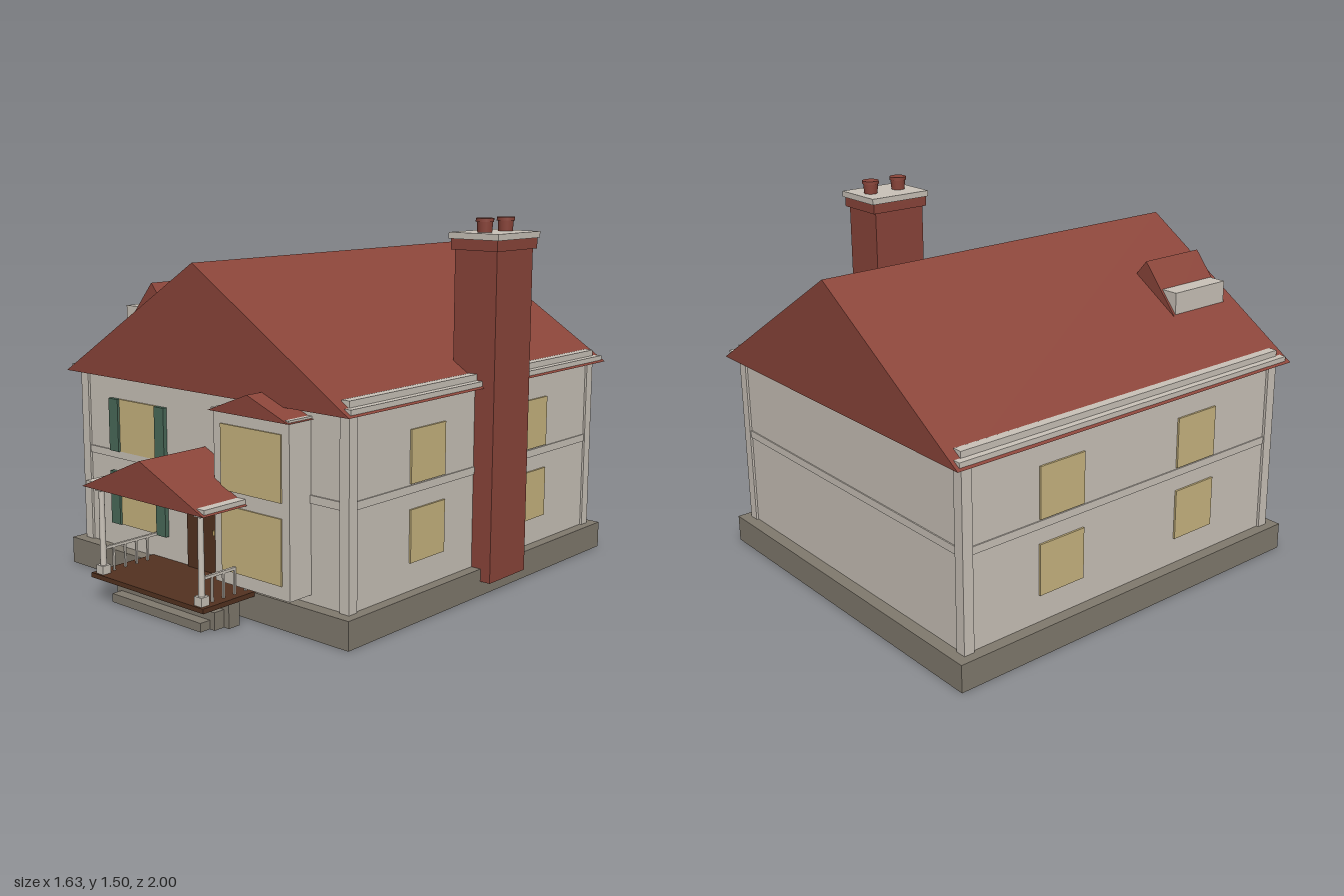
import * as THREE from 'three';

const mat = (name, color) => {
  const m = new THREE.MeshStandardMaterial({ color });
  m.name = name;
  return m;
};

export function createModel() {
  const house = new THREE.Group();
  house.name = 'house';
  const brick = mat('brick red', 0x8b453a);
  const plaster = mat('plaster', 0xcac3b9);
  const stone = mat('stone', 0x817a6e);
  const glass = mat('warm glass', 0xc9b580);
  const green = mat('shutter green', 0x4a6a59);
  const wood = mat('dark wood', 0x533220);
  const brass = mat('brass', 0xc2a468);
  const CX = -0.03; // centre line of the house body

  const add = (name, geo, material, parent = house) => {
    const m = new THREE.Mesh(geo, material);
    m.name = name;
    parent.add(m);
    return m;
  };
  // Box given by its limits on each axis
  const box = (name, material, x0, x1, y0, y1, z0, z1, parent) => {
    const m = add(name, new THREE.BoxGeometry(x1 - x0, y1 - y0, z1 - z0), material, parent);
    m.position.set((x0 + x1) / 2, (y0 + y1) / 2, (z0 + z1) / 2);
    return m;
  };
  // Gable prism with its ridge along z
  const gable = (name, x0, x1, y0, y1, z0, z1) => {
    const s = new THREE.Shape();
    s.moveTo(x0, y0);
    s.lineTo(x1, y0);
    s.lineTo((x0 + x1) / 2, y1);
    s.closePath();
    const geo = new THREE.ExtrudeGeometry(s, { depth: z1 - z0, bevelEnabled: false });
    add(name, geo, brick).position.z = z0;
  };
  // Pair of boxes mirrored about the line x = c; a and b are distances from it
  const pair = (name, material, c, a, b, y0, y1, z0, z1) => {
    for (const s of [-1, 1]) {
      const e = [c + s * a, c + s * b].sort((p, q) => p - q);
      box(name, material, e[0], e[1], y0, y1, z0, z1);
    }
  };

  // Body
  box('foundation', stone, -0.817, 0.755, 0, 0.112, -1, 0.72);
  box('walls', plaster, -0.768, 0.71, 0.112, 0.845, -0.948, 0.666);
  pair('cornerPostFront', plaster, CX, 0.704, 0.749, 0.112, 0.845, 0.63, 0.676);
  pair('cornerPostBack', plaster, CX, 0.704, 0.749, 0.112, 0.845, -0.957, -0.912);
  box('beltCourse', plaster, -0.773, 0.715, 0.493, 0.524, -0.953, 0.672);

  // Main roof with eaves trim
  gable('mainRoof', -0.817, 0.755, 0.843, 1.337, -1, 0.72);
  pair('eavesTrim', plaster, CX, 0.71, 0.748, 0.85, 0.895, -0.957, 0.675);
  pair('gutter', plaster, CX, 0.746, 0.776, 0.85, 0.87, -0.985, 0.7);

  // Roof dormer
  box('dormerBox', plaster, -0.503, -0.18, 1.02, 1.135, 0.36, 0.648);
  gable('dormerRoof', -0.507, -0.173, 1.04, 1.237, 0.35, 0.655);

  // Chimney
  box('chimneyStack', brick, 0.603, 0.8, 0.06, 1.375, -0.33, -0.085);
  box('chimneyCollar', brick, 0.592, 0.81, 1.375, 1.417, -0.345, -0.072);
  box('chimneyCap', plaster, 0.584, 0.816, 1.417, 1.442, -0.355, -0.067);
  for (const z of [-0.285, -0.143]) {
    const pot = add('chimneyPot', new THREE.CylinderGeometry(0.033, 0.029, 0.055, 16), brick);
    pot.position.set(0.7, 1.469, z);
    const rim = add('chimneyPotRim', new THREE.CylinderGeometry(0.036, 0.036, 0.014, 16), brick);
    rim.position.set(0.7, 1.49, z);
  }

  // Side windows
  for (const [y0, y1] of [[0.53, 0.738], [0.223, 0.431]]) {
    for (const [z0, z1] of [[0.11, 0.32], [-0.6, -0.385]]) {
      box('sideWindowLeft', glass, 0.71, 0.718, y0, y1, z0, z1);
      box('sideWindowRight', glass, -0.776, -0.768, y0, y1, z0, z1);
    }
  }

  // Front windows with shutters
  for (const [y0, y1] of [[0.524, 0.745], [0.212, 0.437]]) {
    box('frontWindow', glass, -0.537, -0.31, y0, y1, 0.666, 0.674);
    pair('shutter', green, -0.4235, 0.1135, 0.17, y0, y1, 0.666, 0.684);
  }

  // Two-storey bay
  box('bay', plaster, 0.14, 0.528, 0.145, 0.807, 0.64, 0.78);
  box('bayWindowUpper', glass, 0.18, 0.49, 0.508, 0.76, 0.78, 0.786);
  box('bayWindowLower', glass, 0.18, 0.49, 0.197, 0.45, 0.78, 0.786);
  gable('bayRoof', 0.127, 0.54, 0.805, 0.886, 0.64, 0.797);
  pair('bayGutter', plaster, 0.3335, 0.181, 0.199, 0.806, 0.816, 0.64, 0.788);

  // Door and wall lamp
  box('door', wood, -0.132, 0.066, 0.117, 0.475, 0.66, 0.676);
  box('doorHandle', brass, 0.024, 0.034, 0.275, 0.295, 0.676, 0.684);
  const lamp = add('wallLamp', new THREE.SphereGeometry(0.018, 14, 10), brass);
  lamp.position.set(0.122, 0.367, 0.69);
  box('lampBracket', brass, 0.116, 0.128, 0.348, 0.356, 0.66, 0.69);

  // Porch deck and steps
  box('porchDeck', wood, -0.354, 0.288, 0.098, 0.117, 0.66, 0.985);
  [[0.306, 0.098, 0.845], [0.28, 0.07, 0.893], [0.254, 0.035, 0.94]].forEach(([w, h, z]) =>
    box('porchStep', stone, CX - w, CX + w, 0, h, 0.79, z));

  // Porch roof
  gable('porchRoof', -0.376, 0.314, 0.467, 0.62, 0.64, 1);
  pair('porchEavesTrim', plaster, CX, 0.295, 0.335, 0.472, 0.49, 0.66, 0.988);

  // Columns and railings, mirrored about the porch centre
  for (const s of [-1, 1]) {
    const side = new THREE.Group();
    side.name = s > 0 ? 'porchSideLeft' : 'porchSideRight';
    side.position.x = CX + s * 0.282;
    house.add(side);
    box('columnBase', plaster, -0.02, 0.02, 0.117, 0.152, 0.937, 0.977, side);
    box('columnCap', plaster, -0.017, 0.017, 0.452, 0.469, 0.94, 0.974, side);
    const shaft = add('columnShaft', new THREE.CylinderGeometry(0.011, 0.013, 0.302, 16), plaster, side);
    shaft.position.set(0, 0.302, 0.957);
    box('handrail', plaster, -0.006, 0.006, 0.212, 0.223, 0.66, 0.95, side);
    for (let i = 0; i < 4; i++) {
      const z = 0.905 - i * 0.0575;
      box('baluster', plaster, -0.004, 0.004, 0.117, 0.213, z - 0.004, z + 0.004, side);
    }
  }
  return house;
}
